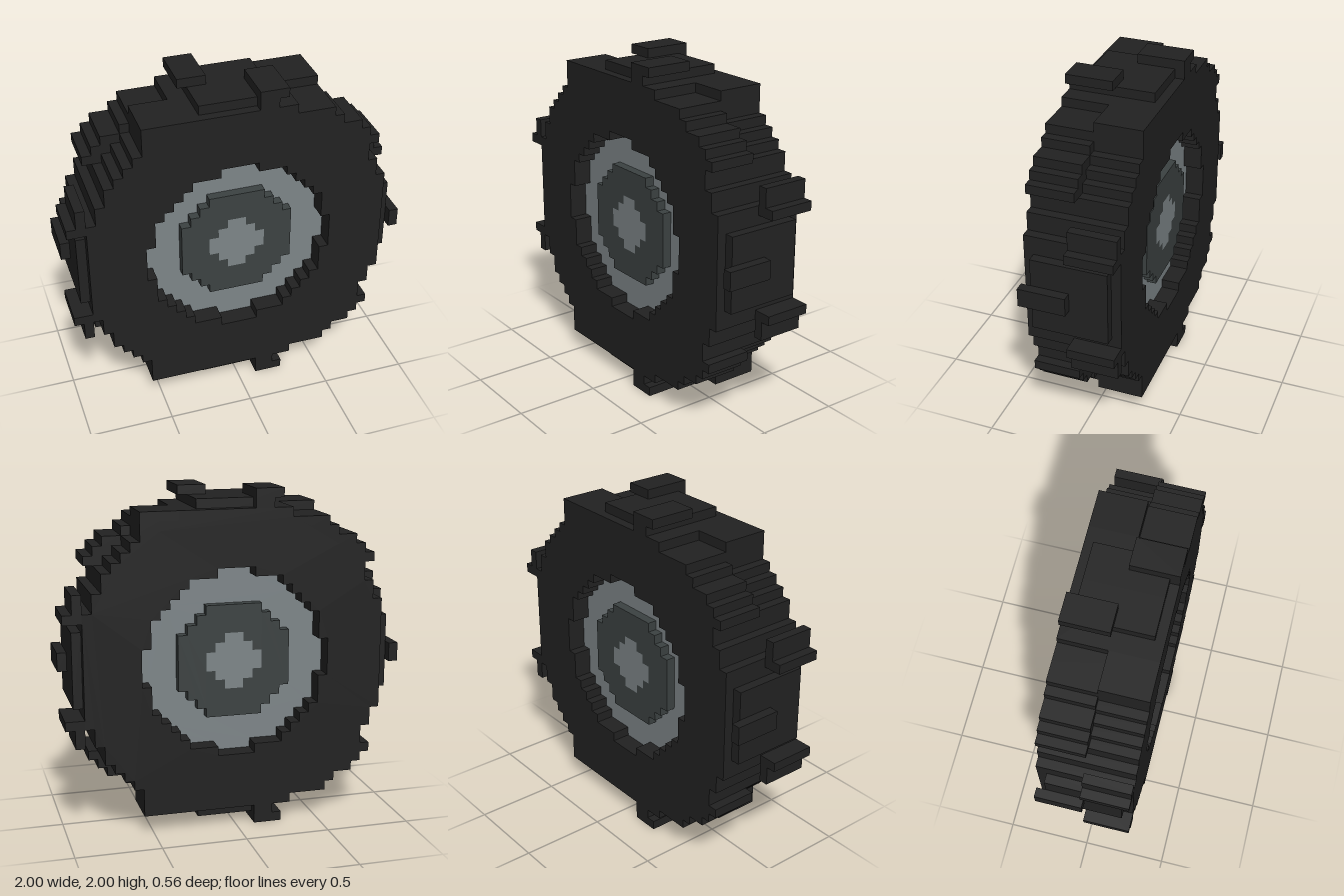
import * as THREE from 'three';

const V = 1 / 18; // one voxel

// Half-widths of each voxel row, from the centre line outward
const TYRE = [16, 16, 16, 16, 16, 16, 15, 15, 14, 14, 13, 12, 11, 10, 8, 6];
const RIM = [10, 10, 9, 9, 9, 8, 7, 6, 5, 2];
const HUB = [6, 6, 6, 5, 4, 3];
const CAP = [3, 2, 1];

// Stepped outline of a voxel disc, counter-clockwise
function outline(rows) {
  const right = [];
  rows.forEach((w, i) => right.push([w, i], [w, i + 1]));
  const up = right.filter((p, i) => {
    const a = right[i - 1], b = right[i + 1];
    return !(a && b && a[0] === p[0] && b[0] === p[0]) && !(a && a[0] === p[0] && a[1] === p[1]);
  }).slice(1);
  const mirror = (sx, sy) => up.map(([x, y]) => new THREE.Vector2(x * sx * V, y * sy * V));
  return [...mirror(1, 1), ...mirror(-1, 1).reverse(), ...mirror(-1, -1), ...mirror(1, -1).reverse()];
}

// Voxel disc, optionally with a voxel hole, centred in depth
function disc(name, rows, hole, halfDepth, material) {
  const shape = new THREE.Shape(outline(rows));
  if (hole) shape.holes.push(new THREE.Path(outline(hole)));
  const geometry = new THREE.ExtrudeGeometry(shape, { depth: 2 * halfDepth * V, bevelEnabled: false });
  geometry.translate(0, 0, -halfDepth * V);
  const mesh = new THREE.Mesh(geometry, material);
  mesh.name = name;
  return mesh;
}

// Box given by its voxel bounds
function block(name, x0, x1, y0, y1, z0, z1, material) {
  const mesh = new THREE.Mesh(
    new THREE.BoxGeometry((x1 - x0) * V, (y1 - y0) * V, (z1 - z0) * V), material);
  mesh.position.set((x0 + x1) / 2 * V, (y0 + y1) / 2 * V, (z0 + z1) / 2 * V);
  mesh.name = name;
  return mesh;
}

export function createModel() {
  const rubber = new THREE.MeshStandardMaterial({ color: 0x222222 });
  rubber.name = 'black rubber';
  const steel = new THREE.MeshStandardMaterial({ color: 0x7e8689 });
  steel.name = 'light steel';
  const dark = new THREE.MeshStandardMaterial({ color: 0x3c4242 });
  dark.name = 'dark steel';

  const model = new THREE.Group();
  model.name = 'wheel';
  const wheel = new THREE.Group();
  wheel.name = 'wheelBody';
  wheel.position.y = 1;
  model.add(wheel);

  // Tyre with a recessed rim, raised hub and flush cap
  wheel.add(
    disc('tyre', TYRE, RIM, 5, rubber),
    disc('rim', RIM, HUB, 3, steel),
    disc('hub', HUB, CAP, 4, dark),
    disc('hubCap', CAP, null, 4, steel));

  // Tread of one side; the other is the same turned half way round
  for (const turn of [0, Math.PI]) {
    const tread = new THREE.Group();
    tread.name = turn ? 'rightTread' : 'leftTread';
    tread.rotation.y = turn;
    const add = (name, ...b) => tread.add(block(name, ...b, rubber));

    add('sidePlate', 16, 17, -4, 4, -4, 4);
    add('sideLug', 17, 18, -1, 1, 0, 5);

    for (const s of [1, -1]) {
      // Bounds of y are mirrored for the lower half
      const addY = (name, x0, x1, y0, y1, z0, z1) =>
        add(name, x0, x1, Math.min(s * y0, s * y1), Math.max(s * y0, s * y1), z0, z1);

      addY('crownPlate', 0, 4, 16, 17, -4, 4);
      addY('crownLug', 2, 5, 17, 18, 0, 5);
      addY('crownLugFoot', 2, 4, 16, 17, 4, 5);

      // Hooked lug on the back half
      addY('hookFlange', 15, 18, 5, 6, -5, 0);
      addY('hookUpright', 16, 17, 6, 8, -5, 0);

      // Shoulder lug on the back half
      addY('shoulderLug', 6, 10, 15, 16, -5, 0);
      addY('shoulderLugFoot', 8, 10, 14, 15, -5, 0);

      // Stepped diagonal lug on the front half
      [15, 14, 13, 11, 10].forEach((x, i) =>
        addY('diagonalLug', TYRE[10 + i], x, 10 + i, 11 + i, 0, 5));
    }
    wheel.add(tread);
  }
  return model;
}
